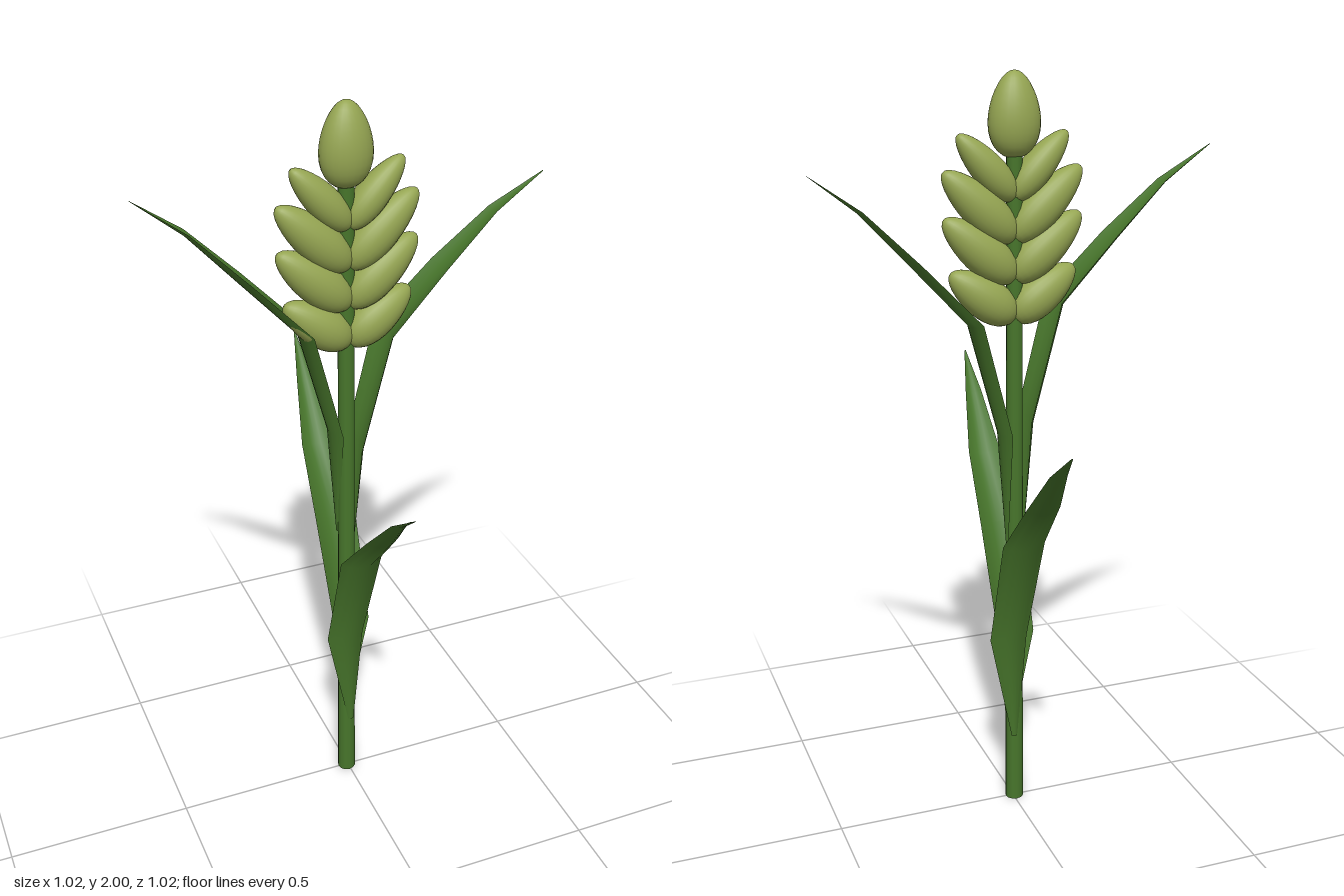
import * as THREE from 'three';

const green = new THREE.MeshStandardMaterial({ color: 0x47752b, side: THREE.DoubleSide });
const seedGreen = new THREE.MeshStandardMaterial({ color: 0x95a552 });

// Leaf stations: distance out, height, sideways shift of the midline, half width
const STATIONS = [
  [0.026, 0.2, 0.0, 0.008],
  [0.032, 0.5, 0.016, 0.052],
  [0.115, 0.8, 0.003, 0.058],
  [0.26, 0.955, 0.008, 0.045],
  [0.39, 1.09, 0.023, 0.023],
  [0.51, 1.18, 0.04, 0.002],
];

// Channelled blade that grows towards +x
function leafGeometry() {
  const cols = 6, pos = [], index = [];
  STATIONS.forEach(([r, y, c, w], i) => {
    const a = STATIONS[Math.max(i - 1, 0)];
    const b = STATIONS[Math.min(i + 1, STATIONS.length - 1)];
    const len = Math.hypot(b[0] - a[0], b[1] - a[1]);
    const nx = -(b[1] - a[1]) / len, ny = (b[0] - a[0]) / len;
    for (let j = 0; j <= cols; j++) {
      const t = (j / cols) * 2 - 1;
      const lift = w * (0.42 * t * t - 0.2);
      pos.push(r + nx * lift, y + ny * lift, c + t * w);
    }
  });
  const row = cols + 1;
  for (let i = 0; i < STATIONS.length - 1; i++) {
    for (let j = 0; j < cols; j++) {
      const p = i * row + j;
      index.push(p, p + 1, p + row, p + 1, p + row + 1, p + row);
    }
  }
  const g = new THREE.BufferGeometry();
  g.setAttribute('position', new THREE.Float32BufferAttribute(pos, 3));
  g.setIndex(index);
  g.computeVertexNormals();
  return g;
}

// Unit-length seed along +y, blunt at the base and narrower at the tip
function seedGeometry() {
  const profile = [];
  for (let i = 0; i <= 16; i++) {
    const a = (i / 16) * Math.PI;
    const taper = 1 + 0.2 * Math.cos(a);
    const r = i === 0 || i === 16 ? 0 : Math.sin(a) * taper / 1.04;
    profile.push(new THREE.Vector2(r, (1 - Math.cos(a)) / 2));
  }
  return new THREE.LatheGeometry(profile, 24);
}

export function createModel() {
  const group = new THREE.Group();
  const add = (name, geometry, material) => {
    const mesh = new THREE.Mesh(geometry, material);
    mesh.name = name;
    group.add(mesh);
    return mesh;
  };

  // Stem
  const stem = add('stem', new THREE.CylinderGeometry(0.02, 0.025, 1.85, 12), green);
  stem.position.set(-0.004, 0.925, 0);

  // Leaves: name, turn in quarter circles, height offset, sideways shift
  const blade = leafGeometry();
  const leaves = [
    ['frontLeaf', 3, -0.005, 0],
    ['backLeaf', 1, 0.005, 0.004],
    ['leftLeaf', 0, 0.59, -0.023],
    ['rightLeaf', 2, 0.63, 0.012],
  ];
  for (const [name, turn, lift, shift] of leaves) {
    const leaf = add(name, blade, green);
    const a = (turn * Math.PI) / 2;
    leaf.rotation.y = a;
    leaf.position.set(Math.sin(a) * shift, lift, Math.cos(a) * shift);
  }

  // Paired seeds: base height, tip x, tip height, half width, half depth
  const seed = seedGeometry();
  const pairs = [
    [1.39, 0.165, 1.515, 0.055, 0.05],
    [1.49, 0.18, 1.65, 0.055, 0.05],
    [1.59, 0.18, 1.765, 0.053, 0.048],
    [1.69, 0.142, 1.852, 0.043, 0.042],
  ];
  pairs.forEach(([y, tipX, tipY, w, d], i) => {
    for (const side of [1, -1]) {
      const mesh = add(`${side > 0 ? 'left' : 'right'}Seed${i + 1}`, seed, seedGreen);
      const dx = tipX + 0.005, dy = tipY - y;
      mesh.position.set(-side * 0.005, y, 0);
      mesh.rotation.z = -side * Math.atan2(dx, dy);
      mesh.scale.set(w, Math.hypot(dx, dy), d);
    }
  });

  // Top seed
  const top = add('topSeed', seed, seedGreen);
  top.position.set(-0.004, 1.79, 0);
  top.scale.set(0.068, 0.21, 0.053);

  return group;
}
